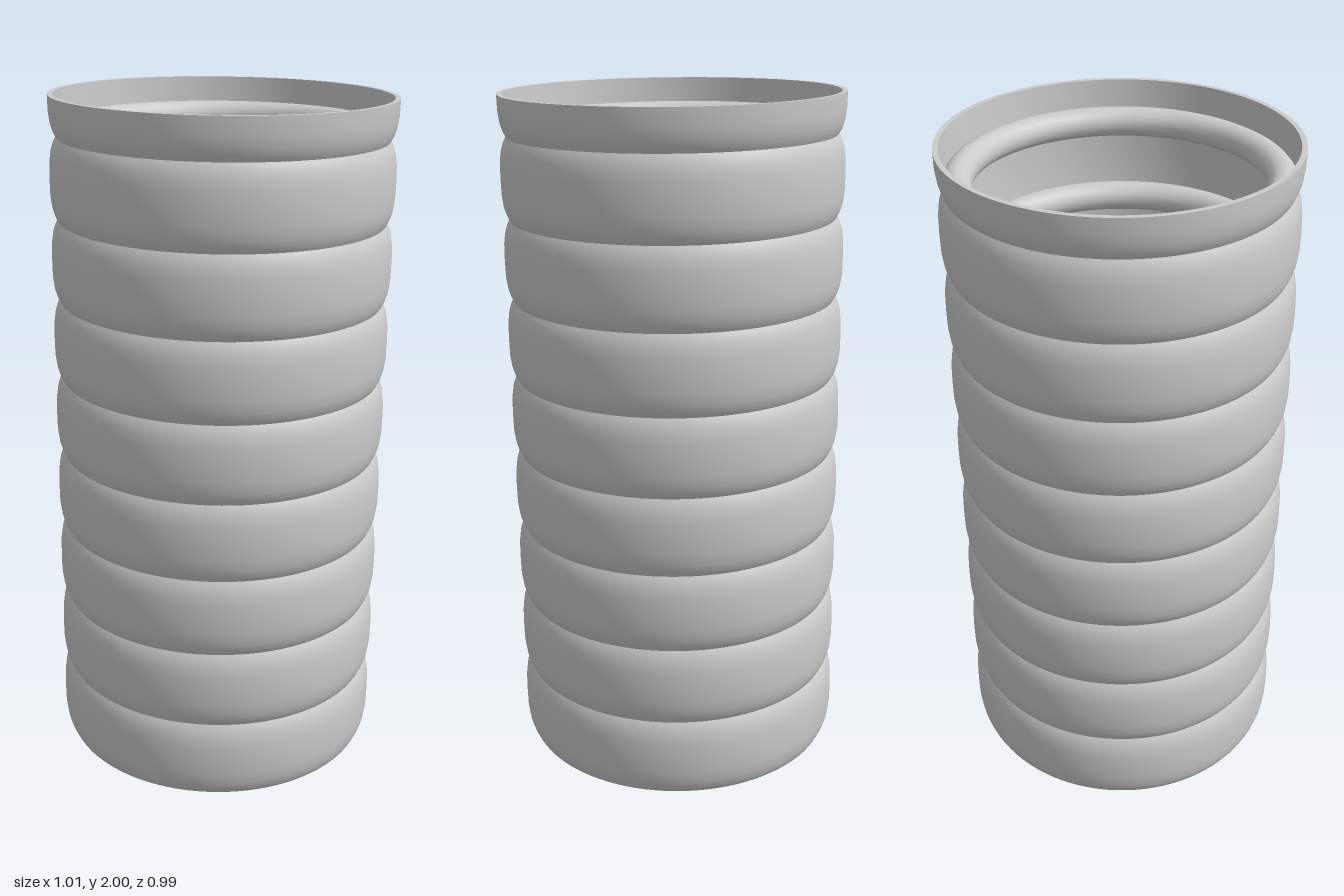
import * as THREE from 'three';
import { toCreasedNormals } from 'three/addons/utils/BufferGeometryUtils.js';

const BOTTOM = 0.006, TOP = 1.994, BANDS = 8.5;
const PITCH = (TOP - BOTTOM) / BANDS;
const WALL = 0.015;

// Radius of the bulging outer wall; narrow grooves at every whole pitch
function outerRadius(y) {
  const u = (y - BOTTOM) / PITCH;
  const t = Math.abs((u - Math.floor(u)) * 2 - 1);
  return 0.472 + 0.021 * (1 - Math.pow(t, 3.5));
}

function wallProfile() {
  const p = [];
  const add = (r, y) => p.push(new THREE.Vector2(r, y));

  // recessed underside with a rounded edge
  add(0, 0.055);
  add(0.36, 0.055);
  add(0.40, 0.048);
  add(0.43, 0.033);
  add(0.45, 0.016);
  add(0.462, BOTTOM);

  // outer bulging bands, bottom to rim
  for (let k = 0; k < BANDS; k++) {
    for (const s of [0, 0.03, 0.08, 0.16, 0.3, 0.5, 0.7, 0.84, 0.92, 0.97]) {
      if (k + s < BANDS) add(outerRadius(BOTTOM + (k + s) * PITCH), BOTTOM + (k + s) * PITCH);
    }
  }
  add(0.493, TOP);

  // inner wall, rim to floor, with a round bead behind each groove
  add(0.493 - WALL, TOP);
  for (let k = 8; k >= 1; k--) {
    const y = BOTTOM + k * PITCH;
    for (let i = 0; i <= 14; i++) {
      const a = Math.PI * (1 / 6 + (i / 14) * (5 / 3));
      add(0.437 + 0.042 * Math.cos(a), y + 0.006 + 0.042 * Math.sin(a));
    }
    add(outerRadius(y - PITCH / 2) - WALL, y - PITCH / 2);
  }

  // inside floor
  add(0.46, 0.085);
  add(0.43, 0.074);
  add(0.38, 0.07);
  add(0, 0.07);
  return p;
}

export function createModel() {
  const group = new THREE.Group();
  group.name = 'ribbedCup';

  const lathe = new THREE.LatheGeometry(wallProfile(), 96);
  lathe.translate(0, -1, 0);
  const cup = new THREE.Mesh(
    toCreasedNormals(lathe, 0.6),
    new THREE.MeshStandardMaterial({ color: 0xcccccc, side: THREE.DoubleSide })
  );
  cup.name = 'cupBody';

  // slight lean toward +x
  cup.position.y = 1;
  cup.rotation.z = -0.013;
  group.add(cup);
  return group;
}
